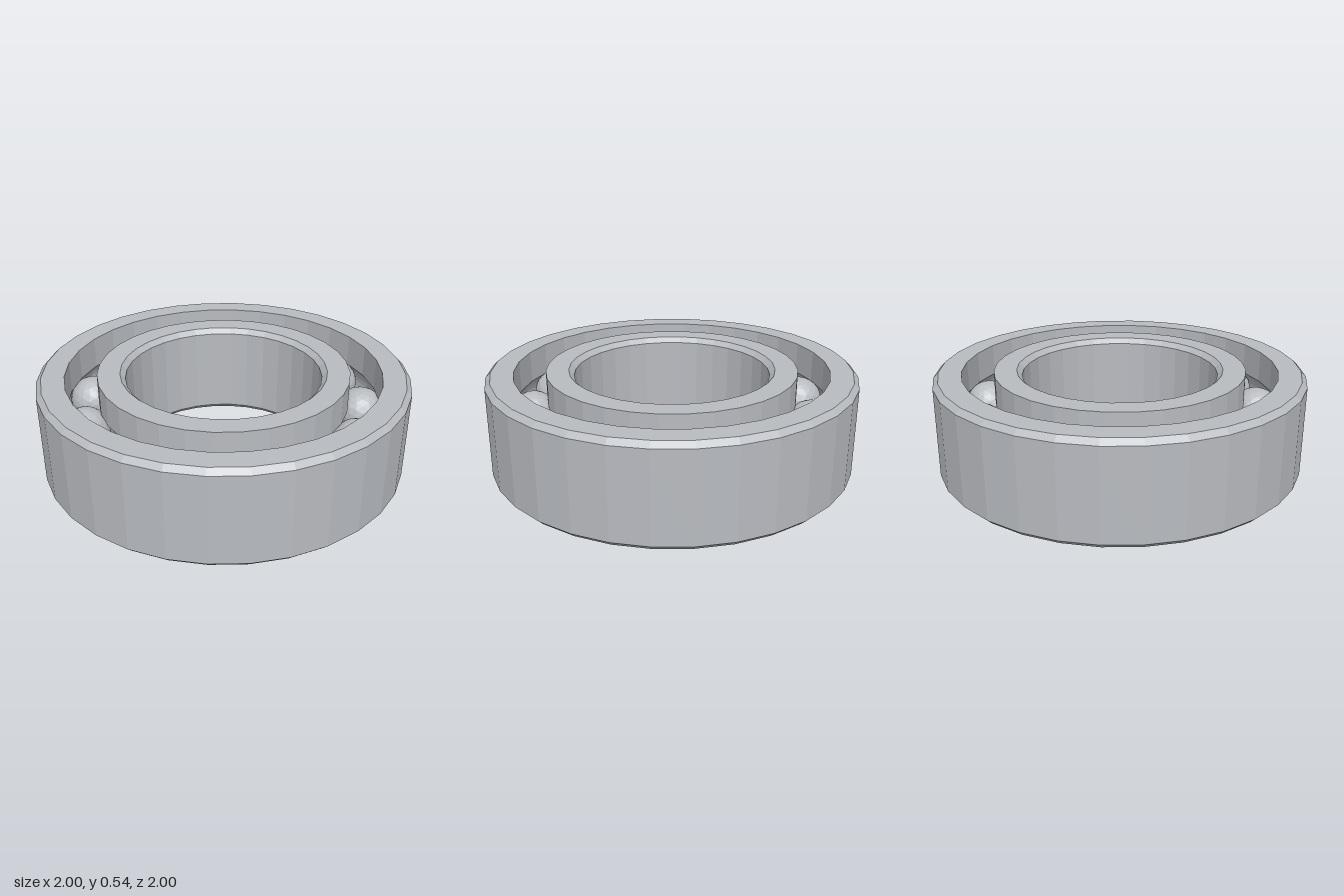
import * as THREE from 'three';

const HEIGHT = 0.54, MID = HEIGHT / 2, BEVEL = 0.028;
const TRACK = 0.763, BALL = 0.13, BALLS = 13, SIDES = 32;

// Points of the ball groove where it cuts into a wall of radius wallR.
// side is 1 for a groove in the outer race, -1 for one in the inner race.
function groove(wallR, side) {
  const half = Math.acos(Math.abs(wallR - TRACK) / BALL);
  const points = [];
  for (let i = 0; i <= 8; i++) {
    const a = side * half * (1 - i / 4);
    points.push(new THREE.Vector2(TRACK + side * BALL * Math.cos(a), MID + side * BALL * Math.sin(a) * side));
  }
  return points;
}

// Ring turned from a closed profile that runs anticlockwise
function ring(name, profile, material) {
  const geometry = new THREE.LatheGeometry([...profile, profile[0].clone()], SIDES);
  const mesh = new THREE.Mesh(geometry, material);
  mesh.name = name;
  return mesh;
}

export function createModel() {
  const group = new THREE.Group();
  group.name = 'ballBearing';
  const steel = new THREE.MeshStandardMaterial({ color: 0xb8bbc0, flatShading: true });
  steel.name = 'steel';
  const p = (x, y) => new THREE.Vector2(x, y);

  // Outer race: bevelled outside, grooved inside
  group.add(ring('outerRace', [
    p(0.85, 0), p(1 - BEVEL, 0), p(1, BEVEL), p(1, HEIGHT - BEVEL), p(1 - BEVEL, HEIGHT),
    p(0.85, HEIGHT), ...groove(0.85, 1),
  ], steel));

  // Inner race: bevelled bore, grooved outside
  group.add(ring('innerRace', [
    p(0.53, HEIGHT - BEVEL), p(0.53, BEVEL), p(0.53 + BEVEL, 0), p(0.68, 0),
    ...groove(0.68, -1), p(0.68, HEIGHT), p(0.53 + BEVEL, HEIGHT),
  ], steel));

  // Balls spaced evenly along the track
  const ballGeometry = new THREE.IcosahedronGeometry(BALL, 3);
  for (let i = 0; i < BALLS; i++) {
    const a = (i / BALLS) * Math.PI * 2;
    const ball = new THREE.Mesh(ballGeometry, steel);
    ball.name = 'ball' + (i + 1);
    ball.position.set(TRACK * Math.cos(a), MID, TRACK * Math.sin(a));
    group.add(ball);
  }
  return group;
}
